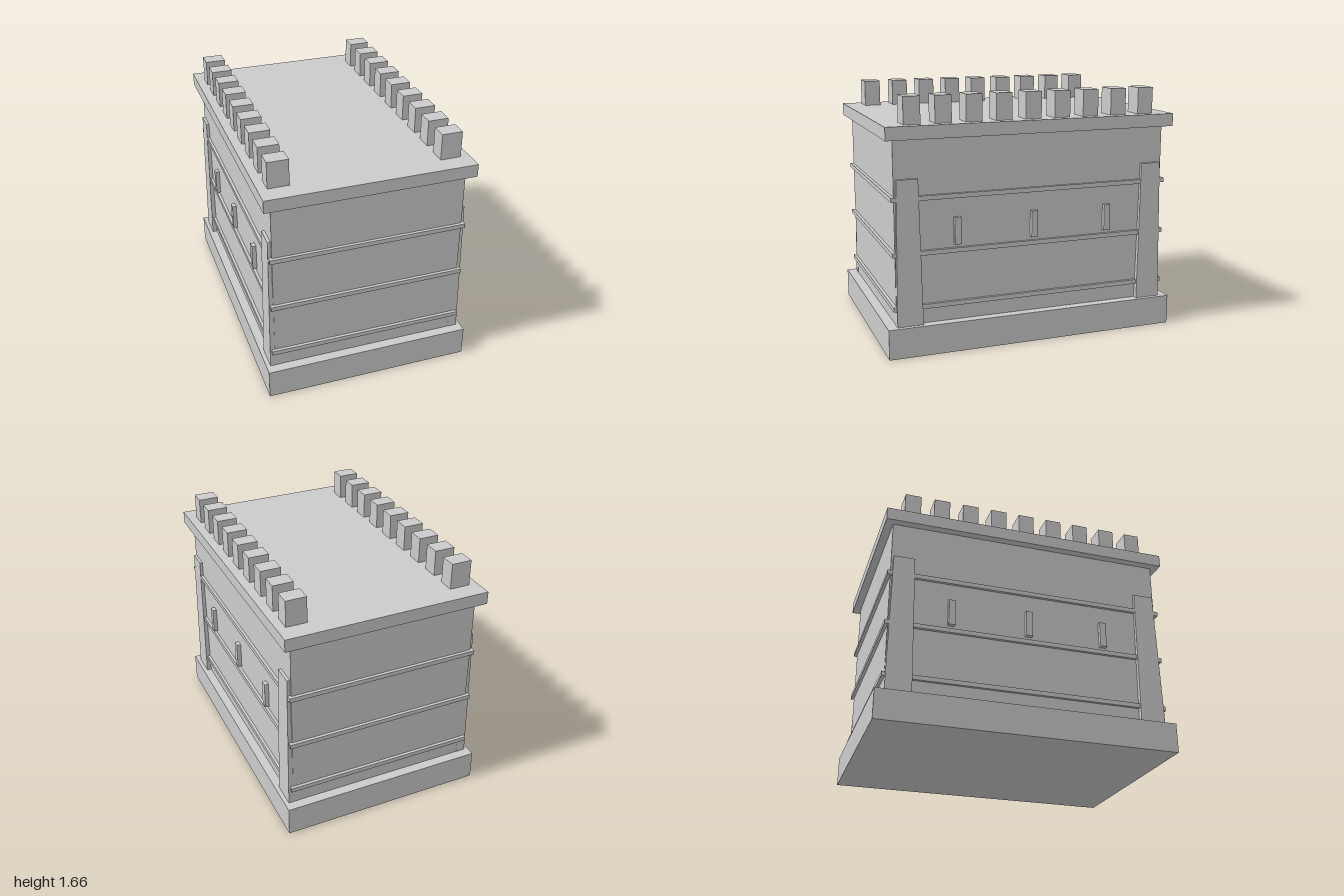
import * as THREE from 'three';

const material = new THREE.MeshStandardMaterial({ color: 0xcccccc, flatShading: true });

export function createModel() {
  const model = new THREE.Group();

  // Box given by full size, bottom height and centre
  function box(name, w, h, d, x, y, z) {
    const mesh = new THREE.Mesh(new THREE.BoxGeometry(w, h, d), material);
    mesh.name = name;
    mesh.position.set(x, y + h / 2, z);
    model.add(mesh);
    return mesh;
  }

  // Main masses
  box('base', 1.39, 0.2, 2, 0, 0, 0);
  box('walls', 1.268, 1.2, 1.868, 0, 0.2, 0);
  box('roofSlab', 1.376, 0.085, 1.976, 0, 1.4, 0);

  // Thin bands running round the walls
  for (const y of [0.3, 0.655, 1.01]) box('band', 1.306, 0.03, 1.91, 0, y, 0);

  for (const side of [-1, 1]) {
    // Row of battlement blocks
    for (let i = -4; i <= 4; i++) {
      box('merlon', 0.138, 0.175, 0.109, side * 0.559, 1.485, i * 0.2013);
    }

    // Narrow raised window strips
    for (const z of [-0.525, 0, 0.525]) box('windowStrip', 0.06, 0.177, 0.044, side * 0.632, 0.709, z);

    // Corner buttresses, flaring slightly towards the foot
    for (const end of [-1, 1]) {
      const buttress = box('buttress', 0.05, 0.95, 0.14, side * 0.629, 0.2, end * 0.85);
      const p = buttress.geometry.attributes.position;
      for (let i = 0; i < p.count; i++) {
        if (p.getY(i) > 0) continue;
        if (p.getX(i) * side > 0) p.setX(i, p.getX(i) + side * 0.013);
        p.setZ(i, p.getZ(i) * 1.22);
      }
      buttress.geometry.computeVertexNormals();
    }
  }

  return model;
}
